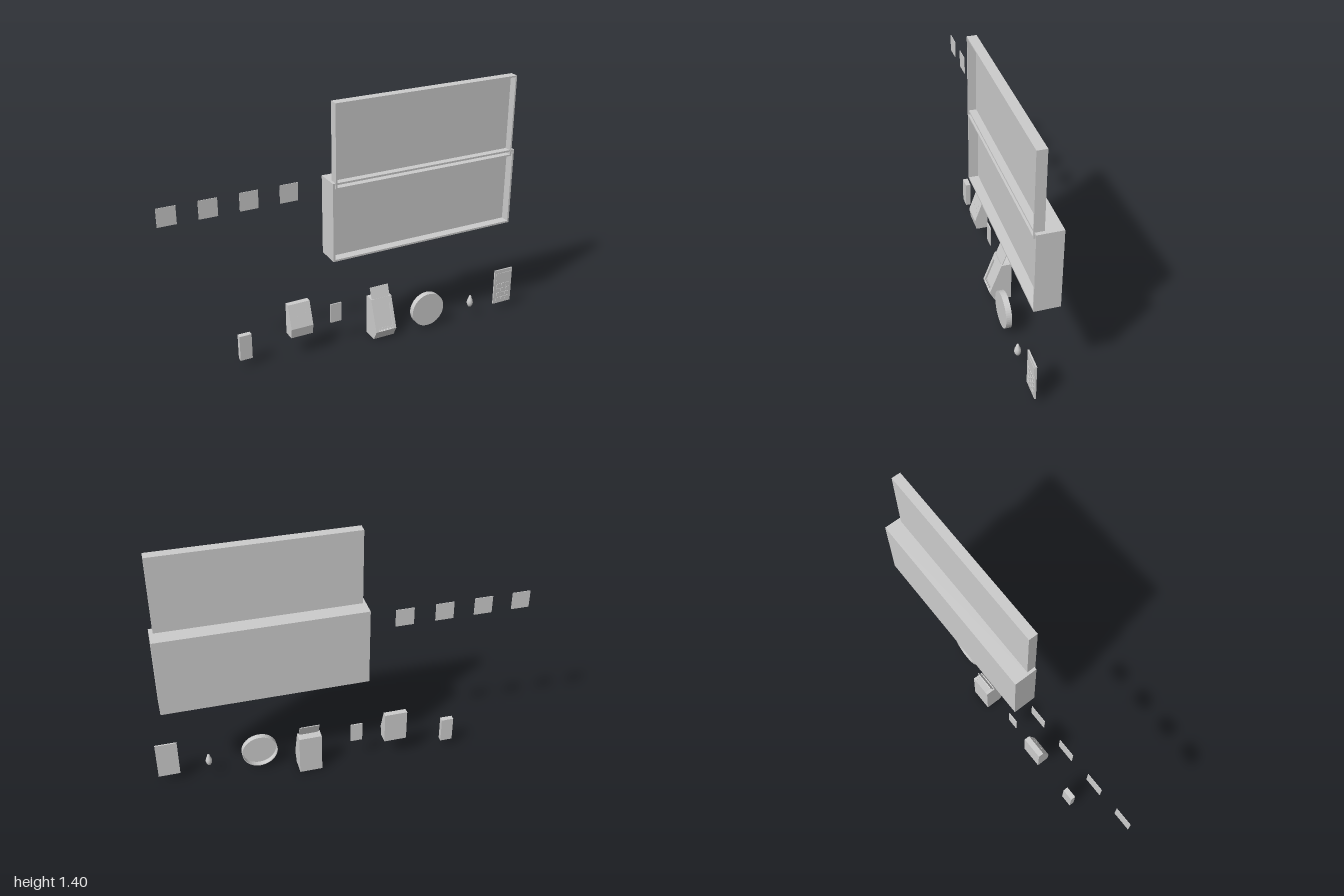
import * as THREE from 'three';

const grey = new THREE.MeshStandardMaterial({ color: 0xcccccc, flatShading: true });
const smooth = new THREE.MeshStandardMaterial({ color: 0xcccccc, side: THREE.DoubleSide });

function add(parent, name, geometry, material = grey) {
  const mesh = new THREE.Mesh(geometry, material);
  mesh.name = name;
  parent.add(mesh);
  return mesh;
}

function part(parent, name) {
  const g = new THREE.Group();
  g.name = name;
  parent.add(g);
  return g;
}

// Box given by its limits on each axis
function block(parent, name, x0, x1, y0, y1, z0, z1) {
  const mesh = add(parent, name, new THREE.BoxGeometry(x1 - x0, y1 - y0, z1 - z0));
  mesh.position.set((x0 + x1) / 2, (y0 + y1) / 2, (z0 + z1) / 2);
  return mesh;
}

// Side profile of [z, y] points, extruded from x0 to x1
function sideProfile(parent, name, points, x0, x1) {
  const shape = new THREE.Shape(points.map(([z, y]) => new THREE.Vector2(z, y)));
  const geo = new THREE.ExtrudeGeometry(shape, { depth: x1 - x0, bevelEnabled: false });
  geo.rotateY(-Math.PI / 2).translate(x1, 0, 0);
  return add(parent, name, geo);
}

// Shallow tray open to the front, with a thin rim
function tray(parent, name, x0, x1, y0, y1, zBack, zFloor, zFront, t) {
  const g = part(parent, name);
  block(g, name + 'Back', x0, x1, y0, y1, zBack, zFloor);
  const rect = (Type, i) => new Type([
    new THREE.Vector2(x0 + i, y0 + i), new THREE.Vector2(x1 - i, y0 + i),
    new THREE.Vector2(x1 - i, y1 - i), new THREE.Vector2(x0 + i, y1 - i),
  ]);
  const frame = rect(THREE.Shape, 0);
  frame.holes.push(rect(THREE.Path, t));
  const geo = new THREE.ExtrudeGeometry(frame, { depth: zFront - zFloor, bevelEnabled: false });
  add(g, name + 'Rim', geo.translate(0, 0, zFloor));
}

// Group lying in a sloped face: local x across, y up the slope, z outwards
function slopeFrame(parent, name, x, [zLow, yLow], [zHigh, yHigh]) {
  const g = part(parent, name);
  g.position.set(x, yLow, zLow);
  g.rotation.x = -Math.atan2(zLow - zHigh, yHigh - yLow);
  return g;
}

export function createModel() {
  const model = new THREE.Group();
  model.name = 'deskSet';

  // Upper and lower display trays
  tray(model, 'upperTray', -0.125, 0.925, 0.955, 1.4, 0.015, 0.022, 0.065, 0.008);
  tray(model, 'lowerTray', -0.14, 0.945, 0.555, 0.987, -0.07, 0.01, 0.06, 0.01);

  // Row of thin square tiles
  for (const x of [-1, -0.793, -0.583, -0.37]) {
    block(model, 'squareTile', x, x + 0.098, 0.876, 0.974, -0.073, -0.07);
  }

  // Small upright box and thin card
  block(model, 'smallBox', -0.636, -0.569, 0.048, 0.192, -0.064, -0.036);
  block(model, 'card', -0.116, -0.051, 0.138, 0.25, -0.04, -0.034);

  // Wedge-shaped wall unit with slots on its sloped face
  const unit = part(model, 'wallUnit');
  const low = [0.001, 0.178], high = [-0.043, 0.303];
  sideProfile(unit, 'wallUnitBody',
    [[-0.073, 0.123], [-0.008, 0.123], low, high, [-0.073, 0.303]], -0.359, -0.234);
  const face = slopeFrame(unit, 'wallUnitFace', -0.2965, low, high);
  block(face, 'slot', 0.03, 0.034, 0.065, 0.092, -0.002, 0.001);
  for (const [x, y] of [[-0.028, 0.06], [-0.02, 0.06], [0.03, 0.04], [0.018, 0.06]]) {
    block(face, 'button', x, x + 0.005, y, y + 0.006, -0.002, 0.001);
  }

  // Receipt printer: two cheeks around a recessed body, with a paper slip
  const printer = part(model, 'printer');
  const nose = [0.054, 0.058], crown = [-0.01, 0.232];
  const profile = [[-0.065, 0.003], [0.025, 0.003], nose, crown, [-0.065, 0.232]];
  const inset = [[-0.065, 0.003], [0.025, 0.003], nose, [0.042, 0.062], [-0.019, 0.228], [-0.065, 0.232]];
  sideProfile(printer, 'printerBody', inset, 0.135, 0.225);
  sideProfile(printer, 'printerCheek', profile, 0.118, 0.135);
  sideProfile(printer, 'printerCheek', profile, 0.225, 0.242);
  const slope = slopeFrame(printer, 'printerFace', 0.18, nose, crown);
  block(slope, 'printerTopBar', -0.045, 0.045, 0.15, 0.184, -0.012, 0);
  block(slope, 'paperSlip', -0.056, 0.054, 0.18, 0.251, -0.009, -0.005);
  for (let i = 0; i < 5; i++) {
    const x = -0.036 + i * 0.018;
    block(slope, 'printerTooth', x - 0.004, x + 0.004, 0.002, 0.018, -0.012, -0.003);
  }

  // Round dish, closed in front and open behind
  const dish = [[0, 0.055], [0.098, 0.055], [0.098, 0.055], [0.098, 0.024], [0.098, 0.024],
    [0.094, 0.024], [0.094, 0.024], [0.094, 0.051], [0.094, 0.051], [0, 0.051]];
  const dishGeo = new THREE.LatheGeometry(dish.map(([r, h]) => new THREE.Vector2(r, h)).reverse(), 48);
  const dishMesh = add(model, 'roundDish', dishGeo.rotateX(Math.PI / 2),
    new THREE.MeshStandardMaterial({ color: 0xcccccc, flatShading: true, side: THREE.DoubleSide }));
  dishMesh.position.set(0.443, 0.12, 0);

  // Small pear-shaped weight
  const pear = [[0, 0.069], [0.009, 0.071], [0.015, 0.082], [0.018, 0.096],
    [0.015, 0.112], [0.009, 0.126], [0.006, 0.138], [0, 0.141]];
  add(model, 'pearWeight',
    new THREE.LatheGeometry(pear.map(([r, y]) => new THREE.Vector2(r, y)), 16), smooth)
    .position.set(0.721, 0, 0.053);

  // Flat calculator with a framed display and a grid of keys
  const calc = part(model, 'calculator');
  block(calc, 'calculatorBody', 0.88, 0.997, 0.046, 0.258, 0.05, 0.058);
  block(calc, 'display', 0.892, 0.985, 0.19, 0.238, 0.057, 0.06);
  for (let row = 0; row < 4; row++) {
    for (let col = 0; col < 3; col++) {
      const x = 0.898 + col * 0.03, y = 0.062 + row * 0.029;
      block(calc, 'key', x, x + 0.023, y, y + 0.021, 0.057, 0.061);
    }
  }
  return model;
}
